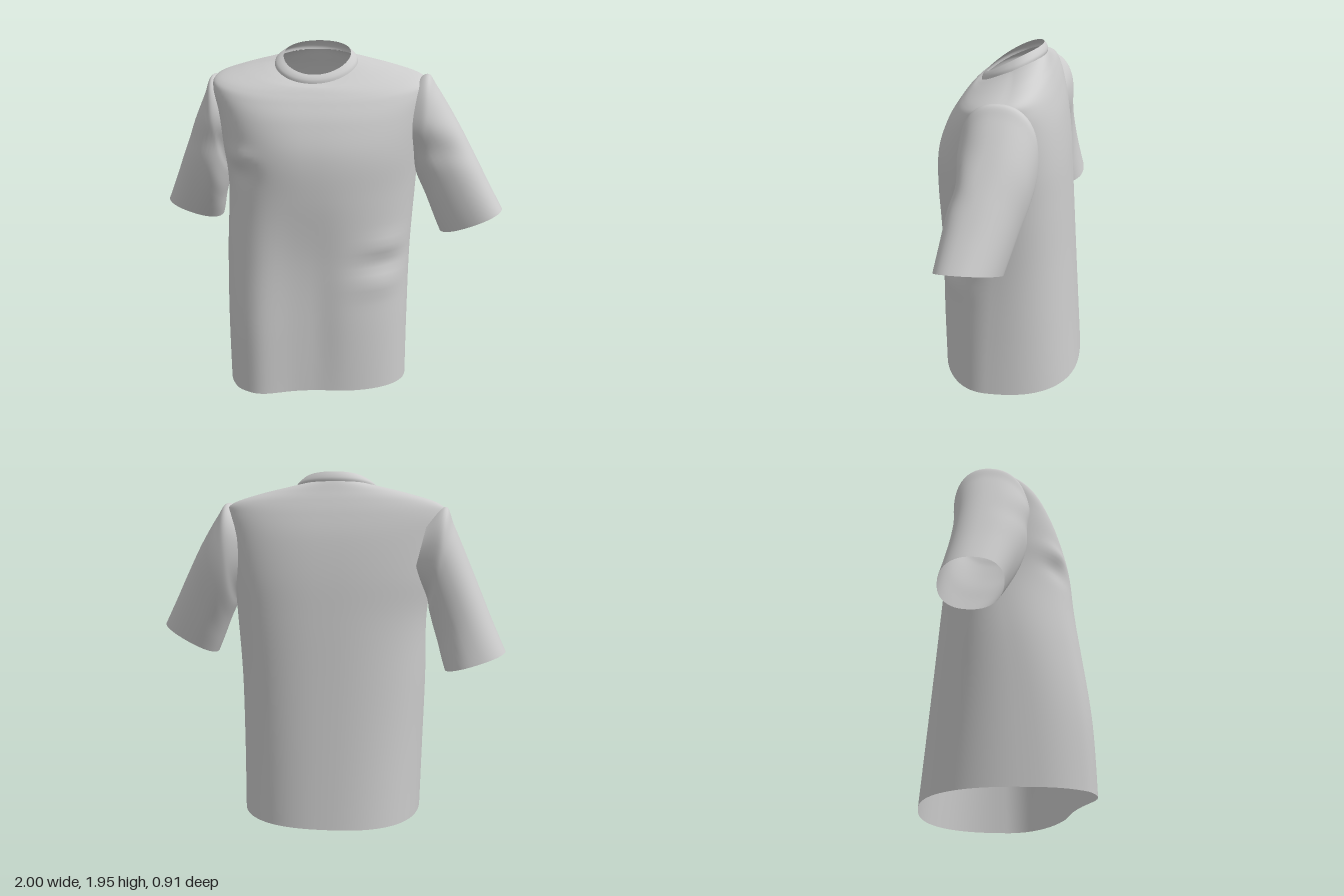
import * as THREE from 'three';

const fabric = new THREE.MeshStandardMaterial({ color: 0xcccccc, side: THREE.DoubleSide });
fabric.name = 'light grey fabric';

// Smoothly interpolated row of numbers at t (0..1) along a list of rows
function sampleRows(rows, t) {
  const f = t * (rows.length - 1);
  const i = Math.min(Math.floor(f), rows.length - 2);
  const u = f - i;
  const at = k => rows[Math.max(0, Math.min(rows.length - 1, k))];
  return rows[i].map((b, k) => {
    const a = at(i - 1)[k], c = at(i + 1)[k], d = at(i + 2)[k];
    return b + 0.5 * u * (c - a + u * (2 * a - 5 * b + 4 * c - d + u * (3 * (b - c) + d - a)));
  });
}

// Open tube of cloth skinned over closed rings
function loft(name, rows, point, rings, sides) {
  const pos = [], index = [];
  for (let r = 0; r <= rings; r++) {
    const row = sampleRows(rows, r / rings);
    for (let s = 0; s < sides; s++) pos.push(...point(row, s / sides * Math.PI * 2));
  }
  for (let r = 0; r < rings; r++) {
    for (let s = 0; s < sides; s++) {
      const a = r * sides + s, b = r * sides + (s + 1) % sides;
      index.push(a, a + sides, b, b, a + sides, b + sides);
    }
  }
  const g = new THREE.BufferGeometry();
  g.setAttribute('position', new THREE.Float32BufferAttribute(pos, 3));
  g.setIndex(index);
  g.computeVertexNormals();
  const mesh = new THREE.Mesh(g, fabric);
  mesh.name = name;
  return mesh;
}

const spow = (v, p) => Math.sign(v) * Math.abs(v) ** p;
const bump = (v, centre, width) => Math.exp(-(((v - centre) / width) ** 2));

// Soft creases on the front: x, y, width, height, depth
const creases = [
  [0.40, 0.88, 0.14, 0.06, 0.015], [0.38, 0.78, 0.14, 0.05, -0.02],
  [0.38, 0.66, 0.16, 0.06, 0.015], [0.02, 0.4, 0.09, 0.5, -0.012],
  [-0.46, 1.36, 0.09, 0.05, 0.02], [-0.44, 1.26, 0.09, 0.06, -0.02],
];

// Row: front y, side y, back y, right x, left x, front z, back z, right side z, left side z,
//      squareness front right, front left and back, hem fold
function torsoPoint([yF, yS, yB, xR, xL, zF, zB, zR, zL, nR, nL, nB, fold], a) {
  const c = Math.cos(a), s = Math.sin(a);
  const n = s < 0 ? nB : c < 0 ? nR : nL;
  const x = (xL + xR) / 2 + (xL - xR) / 2 * spow(c, 2 / n);
  const y = yS + (yF - yB) / 2 * s + ((yF + yB) / 2 - yS) * s * s;
  const side = (zL + zR) / 2 + (zL - zR) / 2 * c;
  let z = side + ((s > 0 ? zF : zB) - side) * Math.abs(s) ** (2 / n);
  if (s > 0) {
    const front = Math.min(1, s * 1.6);
    z += front * fold * bump(x, -0.36, x < -0.36 ? 0.3 : 0.19);
    for (const [cx, cy, w, h, d] of creases) z += front * d * bump(x, cx, w) * bump(y, cy, h);
  }
  return [x, y, z];
}

const bodyRows = [
  [0.02, 0.01, 0.01, -0.55, 0.49, 0.365, -0.465, 0.08, 0.05, 2.7, 2.1, 2.5, 0.105],
  [0.40, 0.40, 0.40, -0.56, 0.49, 0.37, -0.435, 0.05, 0.03, 2.6, 2.1, 2.5, 0.095],
  [0.80, 0.80, 0.80, -0.57, 0.495, 0.37, -0.405, 0, 0, 2.2, 2.05, 2.5, 0.07],
  [1.15, 1.15, 1.15, -0.57, 0.515, 0.385, -0.38, -0.07, -0.03, 2.1, 2.05, 2.5, 0.025],
  [1.38, 1.38, 1.39, -0.60, 0.53, 0.37, -0.36, -0.11, -0.05, 2.3, 2.3, 2.6, 0],
  [1.55, 1.58, 1.59, -0.63, 0.55, 0.31, -0.33, -0.13, -0.06, 2.5, 2.5, 2.6, 0],
  [1.65, 1.71, 1.72, -0.66, 0.565, 0.25, -0.295, -0.13, -0.06, 2.5, 2.5, 2.6, 0],
  [1.70, 1.77, 1.80, -0.64, 0.545, 0.21, -0.265, -0.13, -0.07, 2.4, 2.4, 2.4, 0],
  [1.73, 1.815, 1.85, -0.50, 0.40, 0.18, -0.242, -0.11, -0.08, 2.2, 2.2, 2.2, 0],
  [1.743, 1.84, 1.885, -0.37, 0.26, 0.155, -0.226, -0.08, -0.07, 2.1, 2.1, 2.1, 0],
  [1.75, 1.85, 1.905, -0.29, 0.175, 0.137, -0.215, -0.06, -0.06, 2, 2, 2, 0],
];

// Neckband, slightly proud of the seam
const collarRows = [
  [1.747, 1.847, 1.902, -0.292, 0.177, 0.14, -0.218, -0.06, -0.06, 2, 2, 2, 0],
  [1.765, 1.865, 1.918, -0.287, 0.172, 0.138, -0.22, -0.06, -0.06, 2, 2, 2, 0],
  [1.782, 1.882, 1.938, -0.265, 0.155, 0.127, -0.212, -0.055, -0.055, 2, 2, 2, 0],
  [1.795, 1.893, 1.955, -0.24, 0.138, 0.112, -0.20, -0.05, -0.05, 2, 2, 2, 0],
];

// Sleeve row: top x, y, z, bottom x, y, z, half depth
const leftSleeveRows = [
  [0.48, 1.73, -0.05, 0.42, 1.33, -0.05, 0.17],
  [0.565, 1.79, -0.045, 0.50, 1.27, -0.055, 0.195],
  [0.62, 1.725, -0.045, 0.535, 1.20, -0.05, 0.196],
  [0.72, 1.57, -0.03, 0.575, 1.12, -0.03, 0.185],
  [0.82, 1.40, 0.02, 0.61, 1.04, -0.01, 0.175],
  [0.91, 1.235, 0.06, 0.64, 0.97, 0.005, 0.165],
  [1.0, 1.075, 0.10, 0.665, 0.915, 0.015, 0.155],
];
const rightSleeveRows = [
  [-0.57, 1.70, -0.13, -0.48, 1.33, -0.11, 0.17],
  [-0.665, 1.765, -0.13, -0.565, 1.27, -0.12, 0.20],
  [-0.71, 1.67, -0.13, -0.585, 1.19, -0.12, 0.20],
  [-0.78, 1.51, -0.14, -0.61, 1.10, -0.13, 0.195],
  [-0.855, 1.33, -0.165, -0.635, 1.02, -0.16, 0.185],
  [-0.925, 1.16, -0.195, -0.655, 0.945, -0.20, 0.175],
  [-1.0, 0.99, -0.23, -0.675, 0.88, -0.24, 0.165],
];

function sleevePoint([tx, ty, tz, bx, by, bz, depth], a) {
  const k = 0.5 + 0.5 * spow(Math.cos(a), 0.88);
  const s = spow(Math.sin(a), 0.88);
  const y = by + (ty - by) * k;
  const pucker = s > 0 ? 0.008 * (bump(y, 1.52, 0.07) - bump(y, 1.39, 0.06)) : 0;
  return [bx + (tx - bx) * k, y, bz + (tz - bz) * k + depth * s + pucker];
}

export function createModel() {
  const shirt = new THREE.Group();
  shirt.name = 'shirt';
  shirt.add(
    loft('body', bodyRows, torsoPoint, 90, 96),
    loft('collar', collarRows, torsoPoint, 9, 96),
    loft('leftSleeve', leftSleeveRows, sleevePoint, 36, 48),
    // Ring direction is reversed on this side so the cloth faces outward
    loft('rightSleeve', rightSleeveRows, (row, a) => sleevePoint(row, -a), 36, 48),
  );
  return shirt;
}
